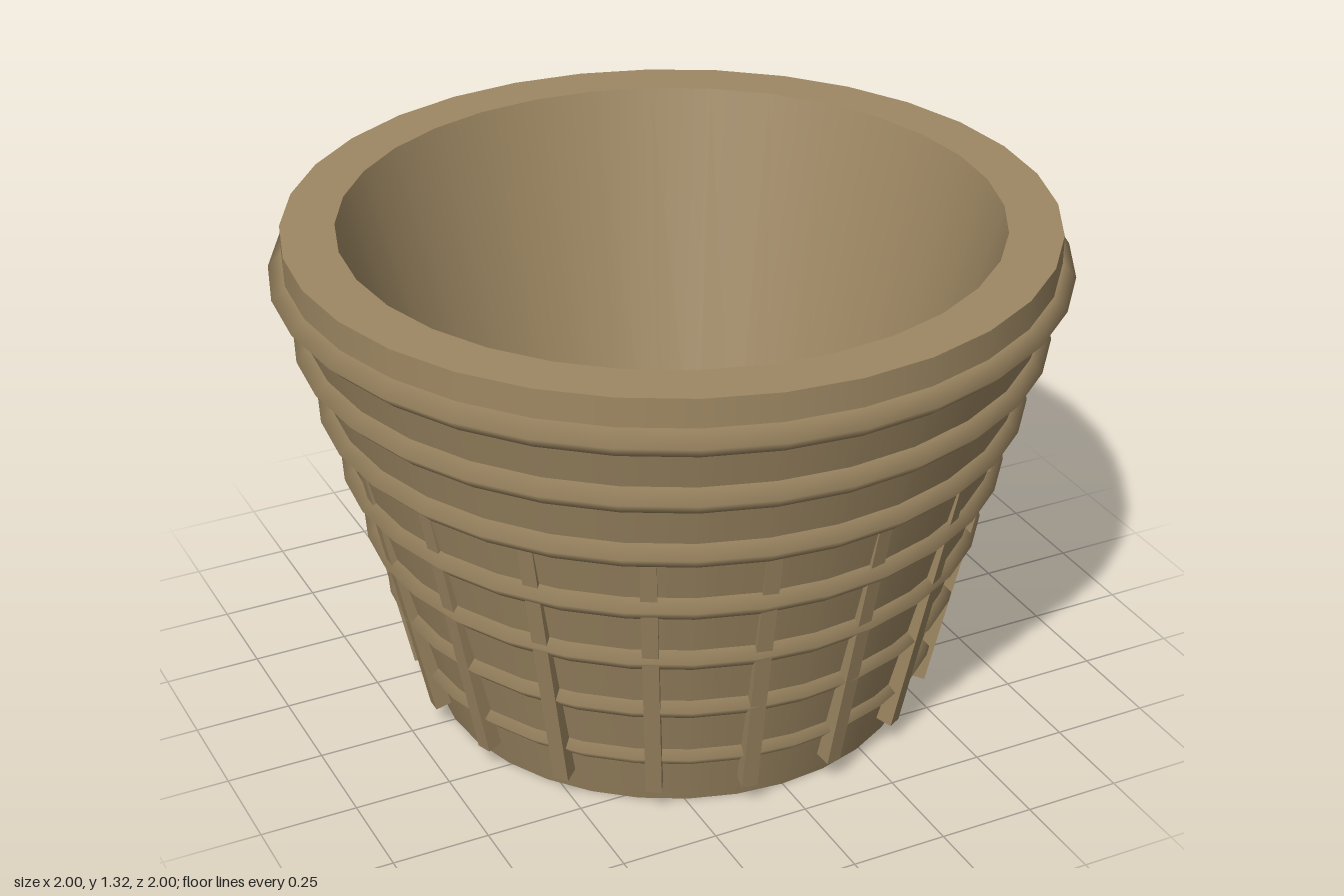
import * as THREE from 'three';

const SIDES = 32;

export function createModel() {
  const model = new THREE.Group();
  model.name = 'basketPot';
  const clay = new THREE.MeshStandardMaterial({ color: 0x9e8863 });
  clay.name = 'tan clay';

  const add = (name, geometry, parent = model) => {
    const mesh = new THREE.Mesh(geometry, clay);
    mesh.name = name;
    parent.add(mesh);
    return mesh;
  };

  // Pot shell: one lathe per section keeps the edges between them sharp
  const section = (name, r0, y0, r1, y1) => add(name, new THREE.LatheGeometry(
    [new THREE.Vector2(r0, y0), new THREE.Vector2(r1, y1)], SIDES));
  section('base', 0, 0, 0.63, 0);
  section('outerWall', 0.63, 0, 0.965, 1.24);
  section('rimBand', 0.965, 1.24, 0.965, 1.315);
  section('rimTop', 0.965, 1.315, 0.83, 1.315);
  section('innerWall', 0.83, 1.315, 0.53, 0.18);
  section('floor', 0.53, 0.18, 0, 0.18);

  // Seven ridged hoops, widening towards the top
  const hoops = new THREE.Group();
  hoops.name = 'hoops';
  model.add(hoops);
  for (let i = 0; i < 7; i++) {
    const tube = 0.04;
    const hoop = add('hoop', new THREE.TorusGeometry(0.7 + i * 0.05 - tube, tube, 4, SIDES), hoops);
    hoop.rotation.x = Math.PI / 2;
    hoop.position.y = 0.165 + i * 0.1735;
  }

  // Eighteen leaning staves that sink into the wall at the top
  const staves = new THREE.Group();
  staves.name = 'staves';
  model.add(staves);
  const low = new THREE.Vector2(0.688, 0.06), high = new THREE.Vector2(0.853, 0.825);
  const depth = 0.06;
  const staveGeometry = new THREE.BoxGeometry(depth, low.distanceTo(high), 0.04);
  staveGeometry.translate(-depth / 2, 0, 0);
  staveGeometry.rotateZ(-Math.atan2(high.x - low.x, high.y - low.y));
  staveGeometry.translate((low.x + high.x) / 2, (low.y + high.y) / 2, 0);
  for (let i = 0; i < 18; i++) {
    add('stave', staveGeometry, staves).rotation.y = i * Math.PI / 9;
  }

  return model;
}
